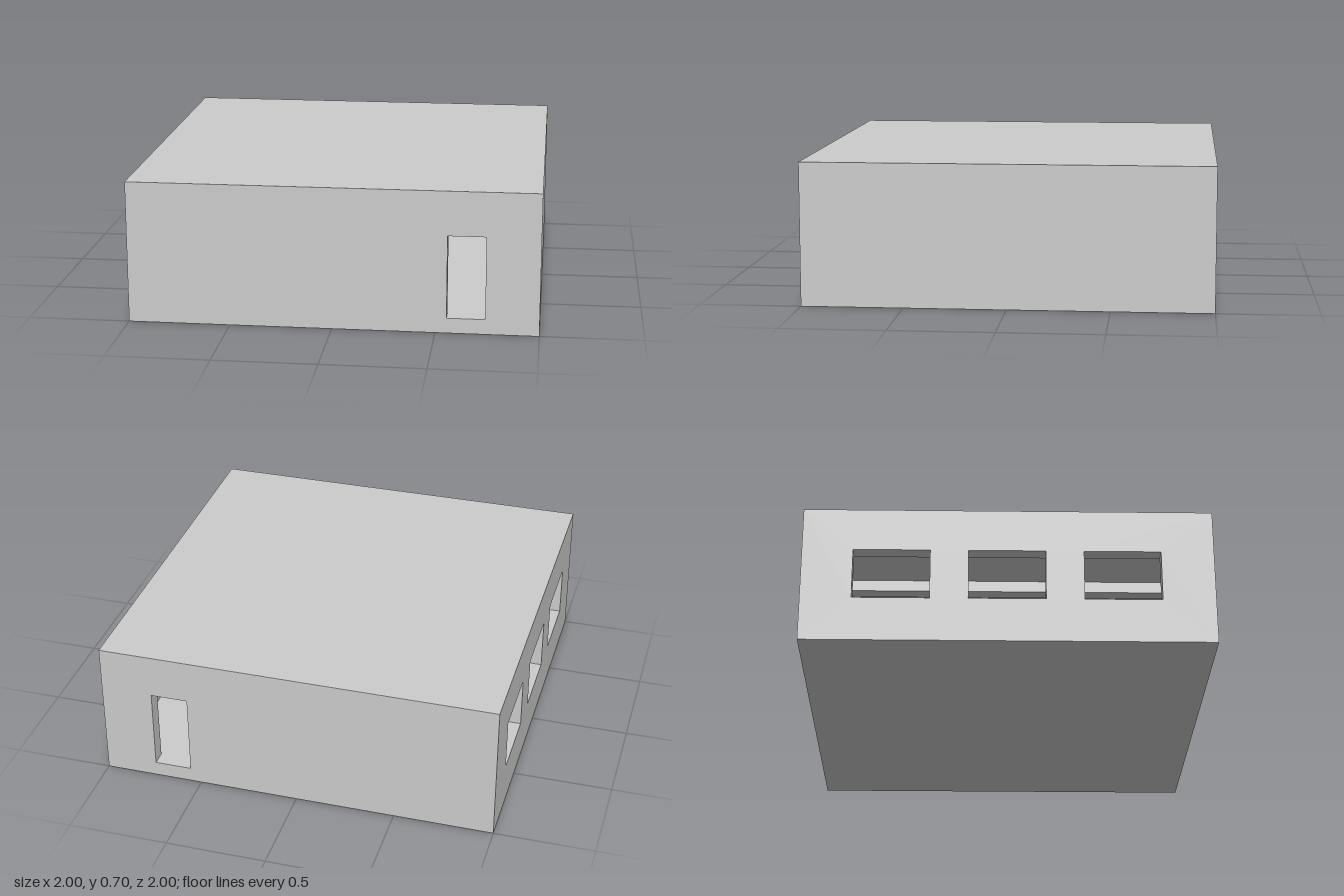
import * as THREE from 'three';

const HEIGHT = 0.705;   // overall height
const T = 0.075;        // wall, floor and roof thickness
const MID = HEIGHT / 2;

const material = new THREE.MeshStandardMaterial({ color: 0xcccccc, flatShading: true });

// Slab with rectangular holes [x0, x1, y0, y1]; its outer face is at z = distance.
// The inner rim is pulled in so that neighbouring slabs meet in a mitre.
function mitredPanel(width, height, distance, holes = []) {
  const w = width / 2, h = height / 2;
  const rect = (path, x0, x1, y0, y1) =>
    path.moveTo(x0, y0).lineTo(x1, y0).lineTo(x1, y1).lineTo(x0, y1).closePath();
  const shape = rect(new THREE.Shape(), -w, w, -h, h);
  for (const [x0, x1, y0, y1] of holes) {
    shape.holes.push(rect(new THREE.Path(), x0, x1, y0 - MID, y1 - MID));
  }
  const geometry = new THREE.ExtrudeGeometry(shape, { depth: T, bevelEnabled: false });
  const p = geometry.attributes.position;
  for (let i = 0; i < p.count; i++) {
    if (p.getZ(i) > T / 2) continue;
    const x = p.getX(i), y = p.getY(i);
    if (Math.abs(x) > w - 1e-4) p.setX(i, Math.sign(x) * (w - T));
    if (Math.abs(y) > h - 1e-4) p.setY(i, Math.sign(y) * (h - T));
  }
  geometry.translate(0, 0, distance - T);
  geometry.computeVertexNormals();
  return geometry;
}

export function createModel() {
  const model = new THREE.Group();
  model.name = 'building';
  const add = (name, geometry) => {
    const mesh = new THREE.Mesh(geometry, material);
    mesh.name = name;
    mesh.position.y = MID;
    model.add(mesh);
  };

  // Floor and roof
  add('floor', mitredPanel(2, 2, MID).rotateX(Math.PI / 2));
  add('roof', mitredPanel(2, 2, MID).rotateX(-Math.PI / 2));

  // Front and back walls, with doorways facing each other
  add('frontWall', mitredPanel(2, HEIGHT, 1, [[0.555, 0.74, T, 0.485]]));
  add('backWall', mitredPanel(2, HEIGHT, 1, [[-0.74, -0.555, T, 0.485]]).rotateY(Math.PI));

  // Side walls: one plain, one with three windows
  add('leftWall', mitredPanel(2, HEIGHT, 1).rotateY(Math.PI / 2));
  const windows = [-0.565, -0.005, 0.555].map((z) => [z - 0.187, z + 0.187, 0.225, 0.485]);
  add('windowWall', mitredPanel(2, HEIGHT, 1, windows).rotateY(-Math.PI / 2));

  // Ceiling beams running front to back
  for (const side of [-1, 1]) {
    const beam = new THREE.BoxGeometry(0.07, 0.06, 2 - 2 * T);
    add('ceilingBeam', beam.translate(side * 0.365, MID - T - 0.03, 0));
  }
  return model;
}
